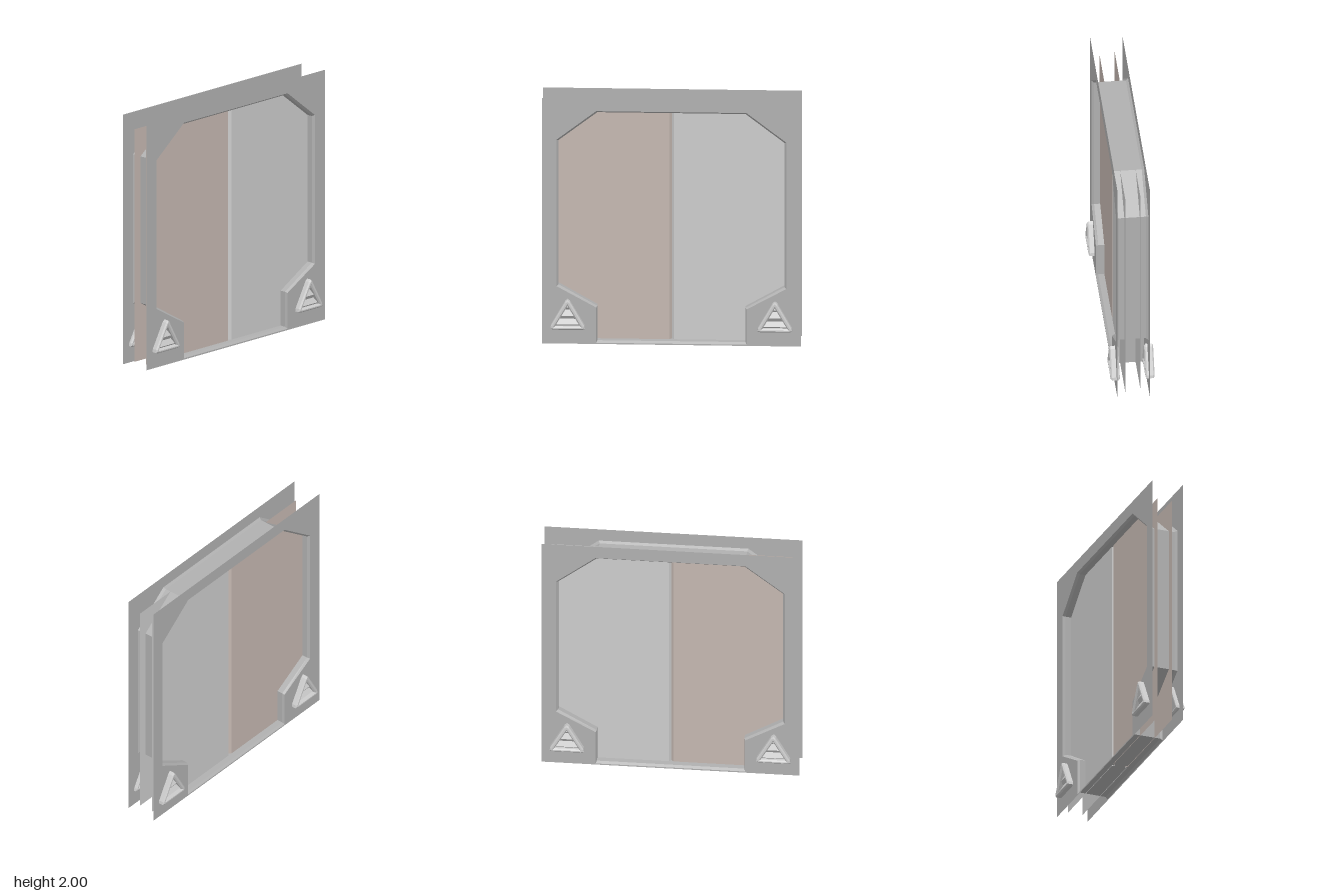
import * as THREE from 'three';

const material = (color) => new THREE.MeshStandardMaterial({ color, flatShading: true, side: THREE.DoubleSide });

// Flat-faced skin across a list of cross-sections (each a list of [x, y, z])
function loft(sections, closed) {
  const pos = [];
  for (let i = 0; i < sections.length - 1; i++) {
    const a = sections[i], b = sections[i + 1], n = a.length;
    for (let j = 0; j < (closed ? n : n - 1); j++) {
      const k = (j + 1) % n;
      pos.push(...a[j], ...b[j], ...b[k], ...a[j], ...b[k], ...a[k]);
    }
  }
  const geo = new THREE.BufferGeometry();
  geo.setAttribute('position', new THREE.Float32BufferAttribute(pos, 3));
  geo.computeVertexNormals();
  return geo;
}

function add(parent, name, geo, mat) {
  const mesh = new THREE.Mesh(geo, mat);
  mesh.name = name;
  parent.add(mesh);
  return mesh;
}

// Mirror half an outline of [z, y] points
const mirrored = (half) => [...half, ...half.map(([z, y]) => [-z, y]).reverse()];

const OUTER = mirrored([[0.58, 0.01], [0.58, 0.297], [0.887, 0.467], [0.887, 1.66], [0.58, 1.897]]);
const INNER = mirrored([[0.572, 0.025], [0.572, 0.305], [0.872, 0.477], [0.872, 1.652], [0.572, 1.883]]);

// Triangle with softly cut corners, centred on x = 0
function triangle(Type, halfWidth, bottom, top, cut) {
  const corners = [[-halfWidth, bottom], [halfWidth, bottom], [0, top]].map((p) => new THREE.Vector2(...p));
  const pts = [];
  corners.forEach((c, i) => {
    const toward = (o) => c.clone().add(o.clone().sub(c).setLength(cut));
    const p = toward(corners[(i + 2) % 3]), q = toward(corners[(i + 1) % 3]);
    pts.push(...new THREE.QuadraticBezierCurve(p, c, q).getPoints(2));
  });
  return new Type(pts);
}

// Raised triangular vent with louvres, facing +x
function createVent(mat) {
  const vent = new THREE.Group();
  vent.name = 'triangleVent';
  const bevel = 0.01;
  const shape = triangle(THREE.Shape, 0.131, 0.134, 0.364, 0.022);
  shape.holes.push(triangle(THREE.Path, 0.113, 0.143, 0.338, 0.008));
  const rim = new THREE.ExtrudeGeometry(shape, {
    depth: 0.05, bevelSize: bevel, bevelThickness: bevel, bevelSegments: 1,
  });
  rim.rotateY(Math.PI / 2).translate(0.11, 0, 0);
  add(vent, 'ventRim', rim, mat);

  // Zigzag louvre profile as [y, x]
  const profile = [[0.143, 0.13], [0.165, 0.152], [0.205, 0.13], [0.235, 0.152],
    [0.28, 0.13], [0.302, 0.152], [0.338, 0.13]];
  const rows = profile.map(([y, x]) => {
    const w = (0.338 - y) * 0.575;
    return [[x, y, w], [x, y, -w]];
  });
  add(vent, 'ventLouvres', loft(rows, false), mat);
  return vent;
}

export function createModel() {
  const model = new THREE.Group();
  model.name = 'slidingDoorway';
  const wallMat = material(0xb0b0b0);
  const greyMat = material(0xcccccc);
  const tintMat = material(0xc4b7b0);

  // Passage lining with chamfered mouths
  const rings = [[-0.125, OUTER], [-0.107, INNER], [0.107, INNER], [0.125, OUTER]];
  add(model, 'passageLining', loft(rings.map(([x, ring]) => ring.map(([z, y]) => [x, y, z])), true), wallMat);

  // Square wall sheets with the doorway cut out
  const wall = new THREE.Shape([[-1, 0], [1, 0], [1, 2], [-1, 2]].map((p) => new THREE.Vector2(...p)));
  wall.holes.push(new THREE.Path(OUTER.map((p) => new THREE.Vector2(...p))));

  for (const side of [1, -1]) {
    const face = new THREE.Group();
    face.name = side > 0 ? 'leftFace' : 'rightFace';
    face.rotation.y = side > 0 ? 0 : Math.PI;
    model.add(face);

    const sheet = new THREE.ShapeGeometry(wall);
    sheet.rotateY(Math.PI / 2).translate(0.125, 0, 0);
    add(face, 'wallSheet', sheet, wallMat);

    for (const z of [0.8, -0.8]) {
      const vent = createVent(greyMat);
      vent.position.z = z;
      face.add(vent);
    }

    // Door leaves: plates running past the lining, chamfered at the middle seam
    for (const end of [1, -1]) {
      const section = (y) => [[0.04, 0], [0.06, 0.018], [0.06, 0.938]].map(([x, z]) => [x * side, y, z * end]);
      const rows = [section(0.02), section(1.883)];
      if (side * end < 0) rows.reverse();
      add(model, end > 0 ? 'frontDoorLeaf' : 'backDoorLeaf', loft(rows, false), end > 0 ? tintMat : greyMat);
    }
  }
  return model;
}
